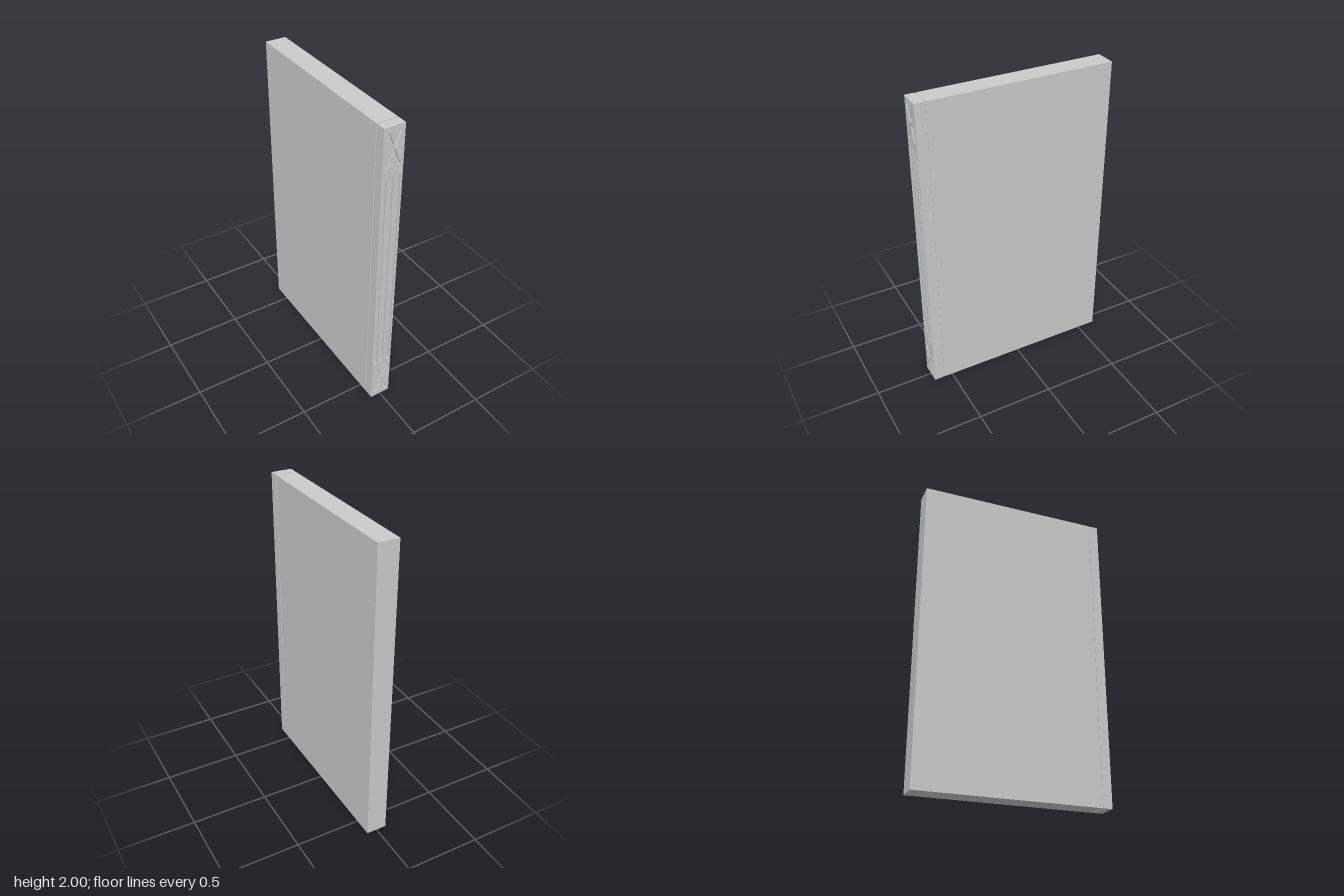
import * as THREE from 'three';

const W = 0.135, H = 2, BACK = -0.625, FRONT = 0.625;
const SEAM0 = 0.557, SEAM1 = 0.563, RECESS = 0.012, INSET = 0.004;

export function createModel() {
  const group = new THREE.Group();
  const material = new THREE.MeshStandardMaterial({ color: 0xcccccc });
  const add = (name, geometry) => {
    const mesh = new THREE.Mesh(geometry, material);
    mesh.name = name;
    group.add(mesh);
  };
  const block = (name, z0, z1, inset = 0) => {
    const g = new THREE.BoxGeometry(W - 2 * inset, H - 2 * inset, z1 - z0);
    add(name, g.translate(0, H / 2, (z0 + z1) / 2));
  };

  // Main slab, narrow seam and spine block
  block('body', BACK, SEAM0);
  block('seam', SEAM0, SEAM1, INSET);
  block('spineBlock', SEAM1, FRONT - RECESS);

  // Face plate pierced by the grooves
  const plate = new THREE.Shape(rectangle(0, H / 2, W, H));
  for (const x of [-0.045, 0, 0.045]) plate.holes.push(new THREE.Path(rectangle(x, 1.0025, 0.019, 1.395)));
  for (const y of [0.138, 1.862]) plate.holes.push(new THREE.Path(cross(y)));
  const face = new THREE.ExtrudeGeometry(plate, { depth: RECESS, bevelEnabled: false });
  add('spineFace', face.translate(0, 0, FRONT - RECESS));

  return group;
}

function rectangle(x, y, w, h) {
  return [[-1, -1], [1, -1], [1, 1], [-1, 1]].map(([a, b]) => new THREE.Vector2(x + a * w / 2, y + b * h / 2));
}

// Outline of two crossed bars with rounded ends
function cross(y) {
  const r = 0.009, reach = 0.105, tilt = THREE.MathUtils.degToRad(69);
  const arms = [tilt, Math.PI - tilt, Math.PI + tilt, 2 * Math.PI - tilt];
  const points = [];
  arms.forEach((a, i) => {
    for (let k = 0; k <= 6; k++) {
      const t = a - Math.PI / 2 + Math.PI * k / 6;
      points.push(new THREE.Vector2(
        reach * Math.cos(a) + r * Math.cos(t),
        y + reach * Math.sin(a) + r * Math.sin(t)));
    }
    // Inner corner between this arm and the next
    const next = i < 3 ? arms[i + 1] : arms[0] + 2 * Math.PI;
    const mid = (a + next) / 2, d = r / Math.sin((next - a) / 2);
    points.push(new THREE.Vector2(d * Math.cos(mid), y + d * Math.sin(mid)));
  });
  return points;
}
